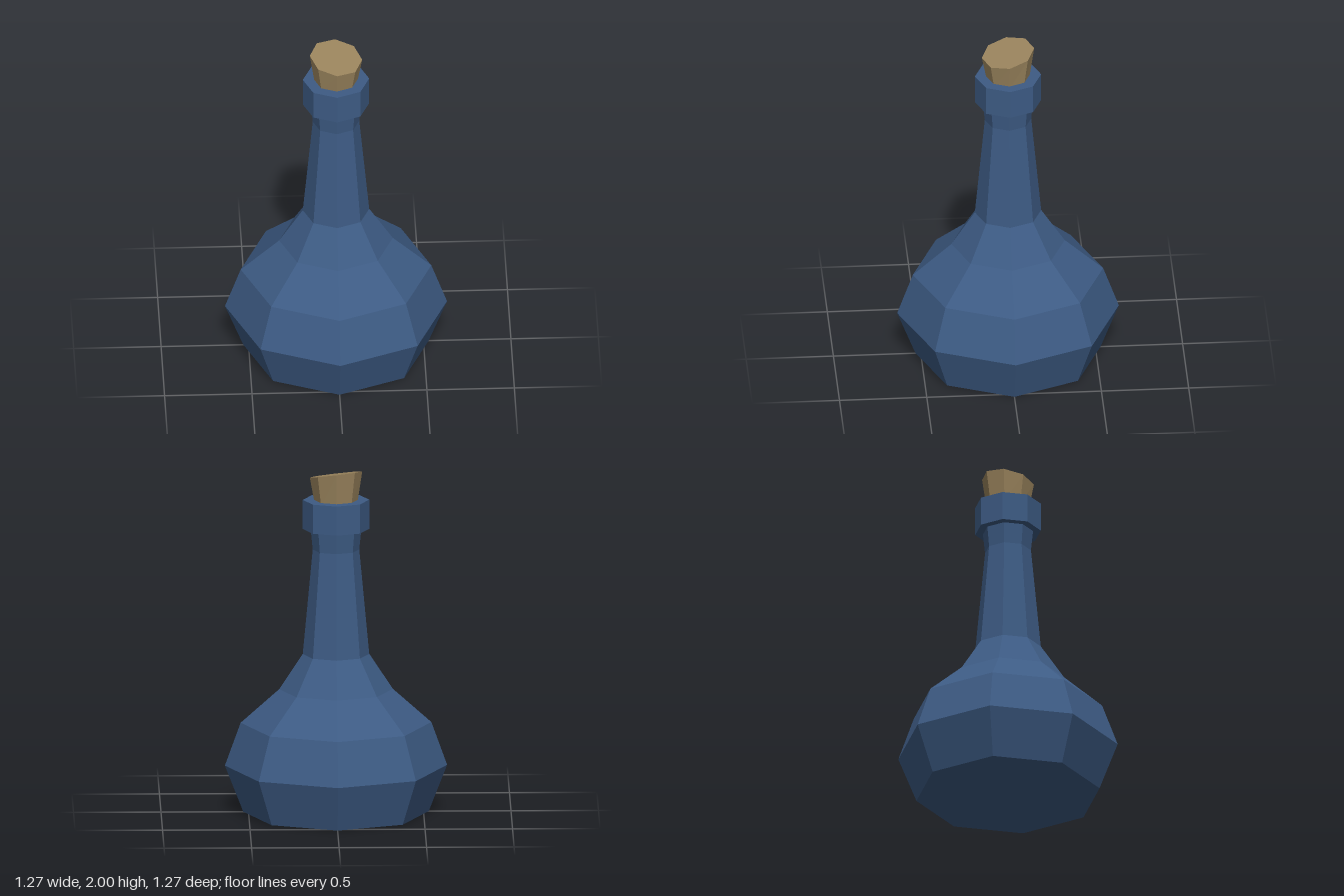
import * as THREE from 'three';

const SIDES = 8;

function flatMaterial(name, color) {
  const m = new THREE.MeshStandardMaterial({ color, flatShading: true });
  m.name = name;
  return m;
}

// Faceted solid of revolution from [radius, height] pairs, bottom to top
function turned(name, profile, material) {
  const points = profile.map(([r, y]) => new THREE.Vector2(r, y));
  const mesh = new THREE.Mesh(new THREE.LatheGeometry(points, SIDES), material);
  mesh.name = name;
  return mesh;
}

export function createModel() {
  const group = new THREE.Group();
  group.name = 'corkedBottle';
  const glass = flatMaterial('blue glass', 0x3d5b84);
  const corkColor = flatMaterial('cork brown', 0x9a845d);

  // Wide belly with a stepped shoulder
  group.add(turned('belly', [
    [0, 0], [0.53, 0], [0.635, 0.27], [0.545, 0.52], [0.325, 0.715], [0.19, 0.92],
  ], glass));

  // Long neck, flaring slightly under the lip
  group.add(turned('neck', [[0.19, 0.92], [0.133, 1.53], [0.145, 1.65]], glass));

  // Thick collar around the mouth
  group.add(turned('lip', [[0.14, 1.65], [0.19, 1.65], [0.19, 1.82], [0, 1.82]], glass));

  // Tapered stopper whose top is cut at a slant
  const cork = new THREE.CylinderGeometry(0.15, 0.122, 0.17, SIDES);
  cork.translate(0, 1.885, 0);
  const pos = cork.attributes.position;
  for (let i = 0; i < pos.count; i++) {
    if (pos.getY(i) > 1.9) pos.setY(i, 1.968 - 0.115 * pos.getX(i) - 0.175 * pos.getZ(i));
  }
  cork.computeVertexNormals();
  const stopper = new THREE.Mesh(cork, corkColor);
  stopper.name = 'cork';
  group.add(stopper);

  return group;
}
